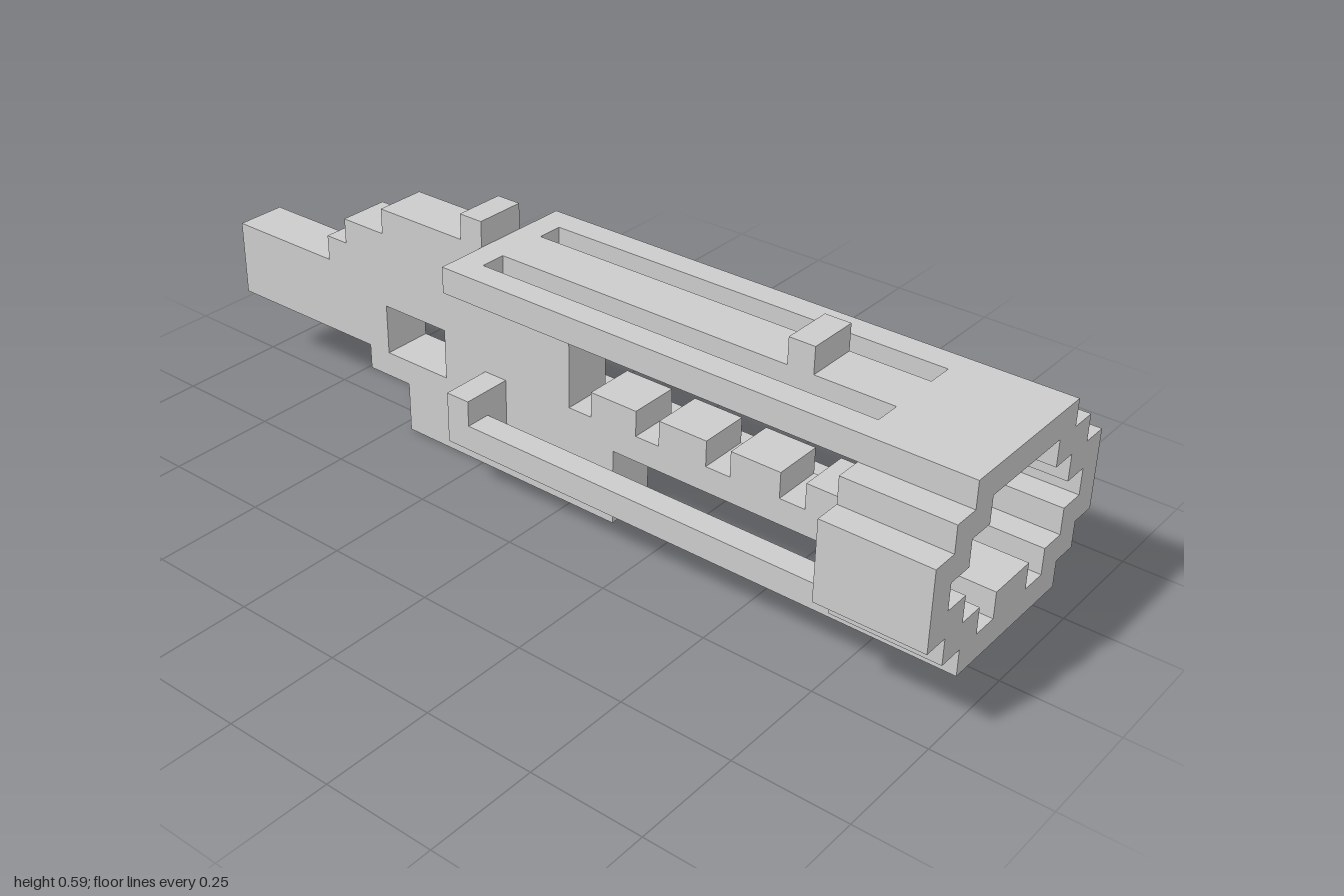
import * as THREE from 'three';

const U = 1 / 17; // one block of the grid
const material = new THREE.MeshStandardMaterial({ color: 0xcccccc, flatShading: true });

const points = (list) => list.map(([a, b]) => new THREE.Vector2(a * U, b * U));
const mirrored = (half) => [...half, ...half.map(([x, y]) => [-x, y]).reverse()];

export function createModel() {
  const group = new THREE.Group();

  const add = (name, geometry) => {
    const mesh = new THREE.Mesh(geometry, material);
    mesh.name = name;
    group.add(mesh);
  };

  // Box given by its limits in grid blocks
  const box = (name, [x0, x1], [y0, y1], [z0, z1]) => {
    const g = new THREE.BoxGeometry((x1 - x0) * U, (y1 - y0) * U, (z1 - z0) * U);
    g.translate((x0 + x1) * U / 2, (y0 + y1) * U / 2, (z0 + z1) * U / 2);
    add(name, g);
  };

  // Central body: side outline (z, y) with a row of teeth, grip hole and stepped tail
  const outline = [[2, 0], [2, 3], [17, 3], [17, 4]];
  for (let z = 15; z >= 3; z -= 3) outline.push([z, 4], [z, 5], [z - 2, 5], [z - 2, 4]);
  outline.push(
    [0, 4], [0, 7], [1, 7], [1, 8], [-4, 8], [-4, 10], [-5, 10], [-5, 9], [-9, 9], [-9, 8],
    [-11, 8], [-11, 7], [-12, 7], [-12, 6], [-17, 6], [-17, 3], [-10, 3], [-10, 2], [-8, 2], [-8, 0]
  );
  const bodyShape = new THREE.Shape(points(outline));
  bodyShape.holes.push(new THREE.Path(points([[-9, 3], [-6, 3], [-6, 5], [-9, 5]])));
  const body = new THREE.ExtrudeGeometry(bodyShape, { depth: 2 * U, bevelEnabled: false });
  body.translate(0, 0, -U).rotateY(-Math.PI / 2);
  add('body', body);

  // Stepped front ring
  const ringShape = new THREE.Shape(points(mirrored([
    [3, 2], [3, 3], [4, 3], [4, 4], [5, 4], [5, 7], [4, 7], [4, 8], [3, 8], [3, 9]
  ])));
  ringShape.holes.push(new THREE.Path(points(mirrored([
    [2, 3], [2, 4], [3, 4], [3, 5], [4, 5], [4, 6], [3, 6], [3, 7], [2, 7], [2, 8]
  ]))));
  const ring = new THREE.ExtrudeGeometry(ringShape, { depth: 4 * U, bevelEnabled: false });
  ring.translate(0, 0, 13 * U);
  add('frontRing', ring);

  // Slotted top plate
  box('topPlateBack', [-3, 3], [8, 9], [-4, -3]);
  box('topPlateCentre', [-1, 1], [8, 9], [-3, 13]);

  // Bars hanging under the top plate, and the front sight above it
  box('upperBarBack', [-1, 1], [7, 8], [2, 7]);
  box('upperBarFront', [-1, 1], [7, 8], [8, 16]);
  box('frontSight', [-1, 1], [9, 10], [9, 10]);

  // Side rails, top and bottom, with the upturned rear brackets
  for (const s of [-1, 1]) {
    const side = (a, b) => (s > 0 ? [a, b] : [-b, -a]);
    box('topRail', side(2, 3), [8, 9], [-3, 13]);
    box('bottomRail', side(2, 3), [2, 3], [-3, 13]);
    box('rearBracket', side(1, 3), [2, 4], [-4, -3]);
  }

  return group;
}
